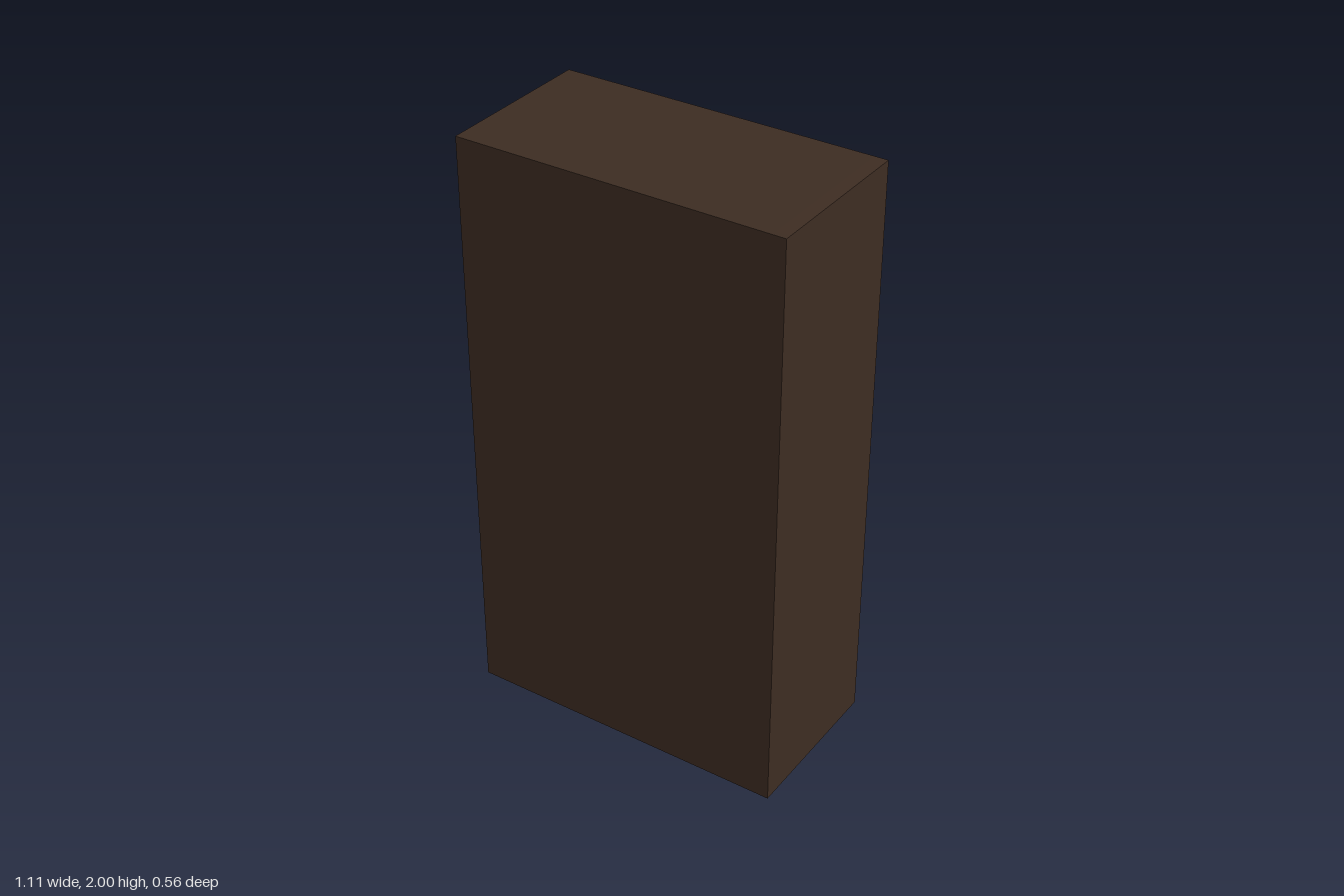
import * as THREE from 'three';

export function createModel() {
  const model = new THREE.Group();
  model.name = 'louveredCabinet';
  const wood = new THREE.MeshStandardMaterial({ color: 0x3d2c22 });
  wood.name = 'dark wood';

  const halfW = 0.555, height = 2, back = -0.273, front = 0.282;
  const wall = 0.045, frontThickness = 0.02;

  // Box given by its minimum and maximum corners
  function board(name, x0, x1, y0, y1, z0, z1) {
    const mesh = new THREE.Mesh(new THREE.BoxGeometry(x1 - x0, y1 - y0, z1 - z0), wood);
    mesh.position.set((x0 + x1) / 2, (y0 + y1) / 2, (z0 + z1) / 2);
    mesh.name = name;
    model.add(mesh);
  }

  // Hollow case, open at the back
  const innerW = halfW - wall, innerFront = front - frontThickness;
  board('frontPanel', -halfW, halfW, 0, height, innerFront, front);
  board('leftSide', innerW, halfW, 0, height, back, innerFront);
  board('rightSide', -halfW, -innerW, 0, height, back, innerFront);
  board('topPanel', -innerW, innerW, height - wall, height, back, innerFront);
  board('bottomPanel', -innerW, innerW, 0, wall, back, innerFront);

  // Upright post between the two louvre bays
  const postRight = -0.02, postLeft = 0.042;
  board('centrePost', postRight, postLeft, wall, height - wall, back, back + 0.06);

  // Slanted slats, falling towards the back
  const count = 25, pitch = 0.0753, firstY = 0.066;
  const depth = 0.07, thickness = 0.01, tilt = 0.68;
  const tipZ = -0.282;
  // Offset from the outermost upper corner to the slat centre
  const dy = (depth / 2) * Math.sin(tilt) - (thickness / 2) * Math.cos(tilt);
  const dz = (depth / 2) * Math.cos(tilt) + (thickness / 2) * Math.sin(tilt);
  for (const [name, x0, x1] of [['rightSlat', -innerW, postRight], ['leftSlat', postLeft, innerW]]) {
    const geometry = new THREE.BoxGeometry(x1 - x0, thickness, depth);
    for (let i = 0; i < count; i++) {
      const slat = new THREE.Mesh(geometry, wood);
      slat.name = name;
      slat.position.set((x0 + x1) / 2, firstY + i * pitch + dy, tipZ + dz);
      slat.rotation.x = -tilt;
      model.add(slat);
    }
  }
  return model;
}
